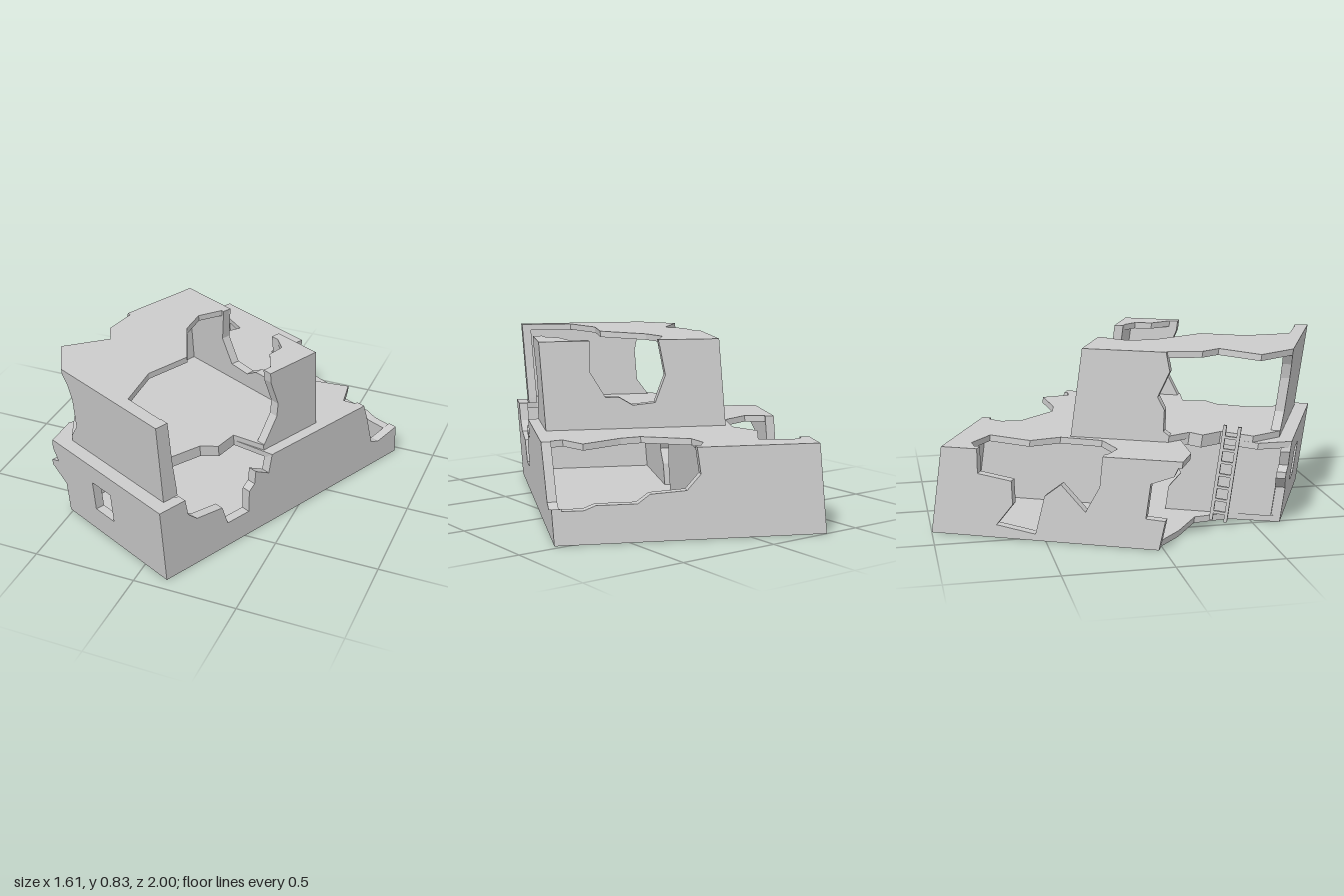
import * as THREE from 'three';

// Plan coordinates: u runs along the back wall, v runs towards the front, y is up.
const W = 1.243, L = 1.557, T = 0.045, SLAB = 0.03;
const FLOOR = 0.41, TOP = 0.83;
const U0 = 0.31, U1 = 1.19, V0 = 0.53, V1 = 1.49; // upper storey footprint

export function createModel() {
  const group = new THREE.Group();
  const material = new THREE.MeshStandardMaterial({ color: 0xcccccc, flatShading: true });

  // Turn the plan on the ground and lean the whole ruin forward
  const c = Math.cos(0.4415), s = Math.sin(0.4415);
  const place = new THREE.Matrix4().set(
    c, 0, -s, -0.32,
    0, 1, 0, 0,
    s, 0.137, c, -1.0,
    0, 0, 0, 1);

  function add(name, geometry) {
    geometry.applyMatrix4(place);
    const mesh = new THREE.Mesh(geometry, material);
    mesh.name = name;
    group.add(mesh);
  }

  function panel(points, depth, hole) {
    const toVec = (p) => new THREE.Vector2(p[0], p[1]);
    const shape = new THREE.Shape(points.map(toVec));
    if (hole) shape.holes.push(new THREE.Path(hole.map(toVec)));
    return new THREE.ExtrudeGeometry(shape, { depth, bevelEnabled: false });
  }

  const vec = (x, y, z) => new THREE.Vector3(x, y, z);
  const basis = (a, b, d, origin) => new THREE.Matrix4().makeBasis(a, b, d).setPosition(origin);

  // Wall drawn as (u, y), starting at v and growing forward
  function crossWall(name, v, points, hole) {
    add(name, panel(points, T, hole).translate(0, 0, v));
  }
  // Wall drawn as (v, y), with its +u face at u
  function sideWall(name, u, points) {
    const m = basis(vec(0, 0, 1), vec(0, 1, 0), vec(-1, 0, 0), vec(u, 0, 0));
    add(name, panel(points, T).applyMatrix4(m));
  }
  // Slab drawn as (u, v), hanging down from y
  function slab(name, y, points, depth = SLAB) {
    const m = basis(vec(1, 0, 0), vec(0, 0, 1), vec(0, -1, 0), vec(0, y, 0));
    add(name, panel(points, depth).applyMatrix4(m));
  }

  // Ground floor, raised above the wall feet, with a kerb along the collapsed corner
  slab('groundFloor', SLAB, [
    [0.02, 0.02], [W - 0.02, 0.02], [W - 0.02, L - 0.02], [0.54, L - 0.02], [0.525, 1.31],
    [0.42, 1.15], [0.2, 1.11], [0.02, 1.05],
  ], 0.008);
  slab('floorKerb', SLAB, [
    [0.52, L], [0.51, 1.313], [0.41, 1.162], [0.2, 1.127], [0, 1.06],
    [0, 1.02], [0.2, 1.09], [0.435, 1.125], [0.545, 1.3], [0.555, L],
  ]);

  // Lower storey walls with broken edges
  crossWall('lowerBackWall', 0, [
    [0, 0], [W, 0], [W, 0.15], [1.1, 0.15], [1.046, 0.17], [0.859, 0.17], [0.8, 0.21],
    [0.632, 0.22], [0.563, 0.29], [0.571, FLOOR], [0, FLOOR],
  ]);
  sideWall('lowerLeftWall', W, [
    [0, 0], [L, 0], [L, FLOOR], [1.41, FLOOR], [1.4, 0.32], [1.352, 0.27], [1.2, 0.25],
    [1.173, 0.14], [1.04, 0.14], [1.03, 0.26], [0.995, 0.29], [0.984, 0.36], [0.903, 0.31],
    [0.877, FLOOR], [0.247, FLOOR], [0.225, 0.33], [0.186, 0.15], [0.134, 0.13], [0, 0.16],
  ]);
  sideWall('lowerRightWall', T, [
    [0, 0], [1.08, 0], [1.09, 0.135], [1.0, 0.14], [1.0, 0.3], [1.1, 0.34], [1.124, FLOOR],
    [0.765, FLOOR], [0.77, 0.27], [0.72, 0.15], [0.59, 0.27], [0.52, 0.21], [0.5, 0.03],
    [0.31, 0.06], [0.375, 0.16], [0.355, 0.27], [0.19, 0.295], [0.173, FLOOR], [0, FLOOR],
  ]);
  crossWall('lowerFrontWall', L - T, [
    [0.52, 0], [W, 0], [W, FLOOR], [0.46, FLOOR], [0.45, 0.36], [0.48, 0.29], [0.426, 0.27],
    [0.426, 0.24], [0.52, 0.17],
  ], [[0.747, 0.14], [0.747, 0.305], [0.88, 0.305], [0.88, 0.14]]);

  // Inner wall of the lower storey, split by a ragged gap
  const CEILING = FLOOR - SLAB;
  sideWall('innerWallBack', 0.55, [
    [T, SLAB], [0.86, SLAB], [0.85, 0.15], [0.81, 0.26], [0.82, CEILING], [T, CEILING],
  ]);
  sideWall('innerWallFront', 0.55, [
    [1.0, SLAB], [L - T, SLAB], [L - T, CEILING], [1.0, CEILING], [1.0, 0.3], [1.05, 0.21],
    [1.0, 0.14],
  ]);

  // Terrace, eaten away along the edges
  slab('terrace', FLOOR, [
    [0, 0], [0.56, 0], [0.518, 0.114], [0.552, 0.208], [0.773, 0.303], [0.872, 0.278],
    [1.062, 0.166], [1.14, 0.284], [W, 0.247], [W, 0.877], [1.034, 0.926], [1.056, 1.042],
    [0.997, 1.104], [0.975, 1.269], [0.999, 1.39], [1.146, 1.44], [W, 1.41], [W, L],
    [0.46, L], [0.39, 1.41], [0.45, 1.22], [0.365, 1.148], [0.4, 1.08], [0.381, 1.041],
    [0.151, 1.138], [0, 1.13], [0, 0.765], [0.145, 0.798], [0.272, 0.694], [0.286, 0.489],
    [0.195, 0.366], [0.249, 0.152], [0.098, 0.113], [0, 0.173],
  ]);

  // Floor of the upper storey, one step above the terrace
  slab('upperFloor', FLOOR + SLAB, [
    [U0, V0], [U1, V0], [U1, 0.88], [1.034, 0.926], [1.056, 1.042], [0.997, 1.104],
    [0.975, 1.269], [0.999, 1.39], [1.146, 1.44], [U1, 1.41], [U1, V1], [0.527, V1],
    [0.4, 1.38], [0.45, 1.22], [0.365, 1.148], [0.4, 1.08], [U0, 1.0],
  ]);

  // Upper storey walls
  crossWall('upperBackWall', V0, [
    [U0, FLOOR], [U1, FLOOR], [U1, TOP], [0.947, TOP], [0.955, 0.68], [0.89, 0.56],
    [0.825, 0.56], [0.76, 0.52], [0.65, 0.53], [0.59, 0.66], [0.61, TOP], [U0, TOP],
  ]);
  sideWall('upperLeftWall', U1, [
    [V0, FLOOR], [0.88, FLOOR], [0.876, 0.44], [0.79, 0.57], [0.779, 0.64], [0.82, 0.78],
    [0.82, TOP], [V0, TOP],
  ]);
  sideWall('upperCornerPost', U1, [
    [1.41, FLOOR], [V1, FLOOR], [V1, TOP], [1.425, TOP], [1.42, 0.6], [1.41, 0.44],
  ]);
  sideWall('upperRightWall', U0 + T, [
    [V0, FLOOR], [1.0, FLOOR], [1.0, 0.44], [0.97, 0.46], [0.96, 0.56], [0.92, 0.62],
    [0.96, 0.74], [0.93, TOP], [V0, TOP],
  ]);
  crossWall('upperFrontWall', V1 - T, [
    [0.527, FLOOR], [U1, FLOOR], [U1, TOP], [0.527, TOP], [0.527, 0.8],
    [0.56, 0.75], [0.58, 0.68], [0.58, 0.52], [0.527, 0.44],
  ]);

  // Remains of the roof
  slab('mainRoof', TOP, [
    [U0, V0], [0.61, V0], [0.56, 0.693], [0.619, 0.82], [0.826, 0.999], [0.821, 1.222],
    [0.928, 1.426], [U1, 1.43], [U1, V1], [0.527, V1], [0.357, 1.364], [0.455, 1.151],
    [0.372, 1.09], [0.331, 0.934], [U0, 0.93],
  ]);
  slab('cornerRoof', TOP, [
    [0.947, V0], [U1, V0], [U1, 0.82], [1.06, 0.7], [1.053, 0.615], [0.96, 0.56],
  ]);

  // Ladder in the collapsed corner
  for (const [u, v] of [[0.37, 1.315], [0.392, 1.243]]) {
    add('ladderRail', new THREE.BoxGeometry(0.016, 0.455, 0.016).translate(u, 0.258, v));
  }
  for (let i = 0; i < 7; i++) {
    const rung = new THREE.BoxGeometry(0.012, 0.012, 0.075).rotateY(-0.297);
    add('ladderRung', rung.translate(0.381, 0.07 + i * 0.06, 1.279));
  }
  return group;
}
